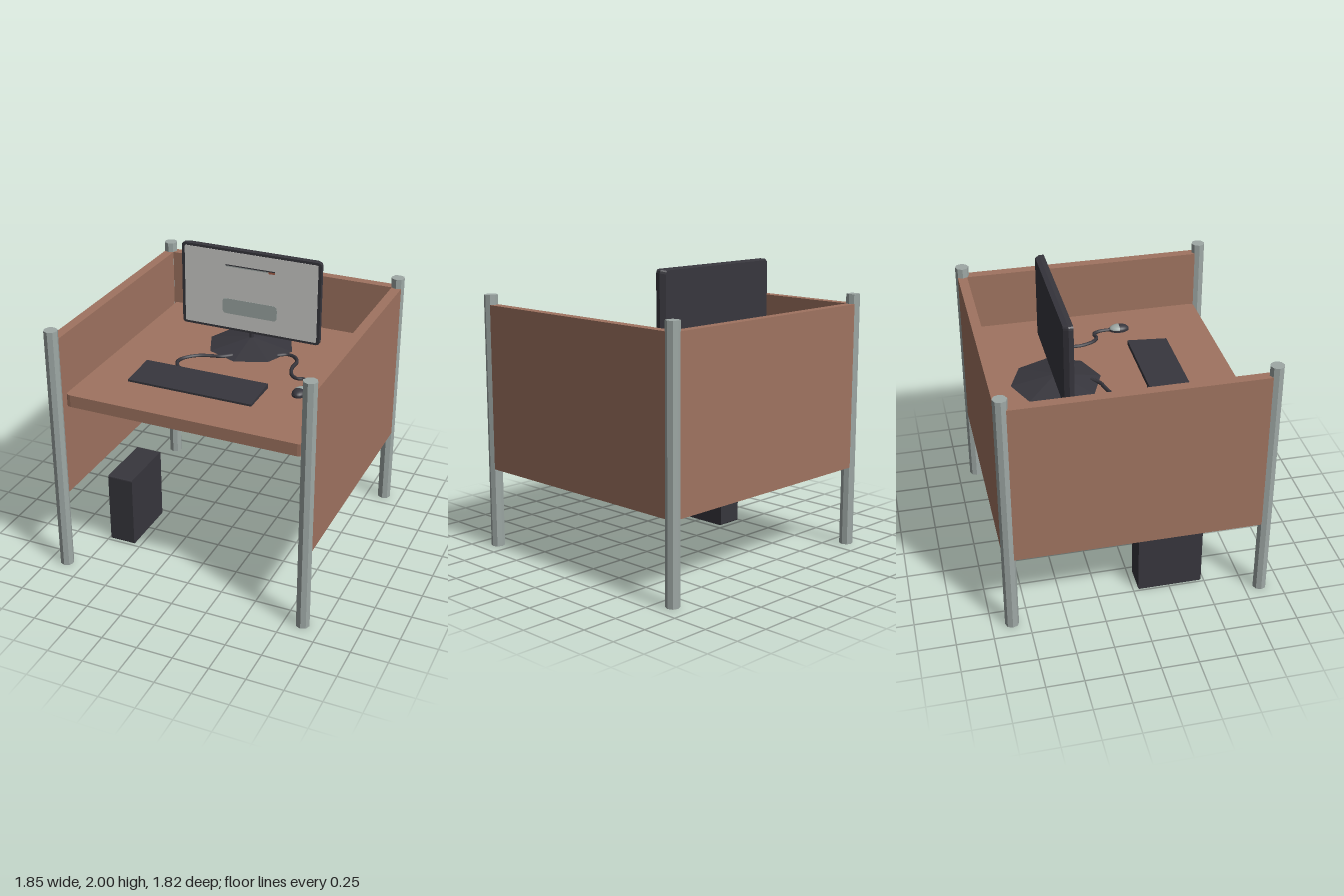
import * as THREE from 'three';

const mat = (name, color, side = THREE.FrontSide) => {
  const m = new THREE.MeshStandardMaterial({ color, side });
  m.name = name;
  return m;
};

// Rectangle with separate corner radii for its lower and upper edges
function roundedRect(x0, x1, y0, y1, rLow, rHigh = rLow) {
  const s = new THREE.Shape();
  s.moveTo(x0 + rLow, y0);
  s.lineTo(x1 - rLow, y0);
  s.quadraticCurveTo(x1, y0, x1, y0 + rLow);
  s.lineTo(x1, y1 - rHigh);
  s.quadraticCurveTo(x1, y1, x1 - rHigh, y1);
  s.lineTo(x0 + rHigh, y1);
  s.quadraticCurveTo(x0, y1, x0, y1 - rHigh);
  s.lineTo(x0, y0 + rLow);
  s.quadraticCurveTo(x0, y0, x0 + rLow, y0);
  return s;
}

const extrude = (shape, depth, steps = 1, curveSegments = 3) =>
  new THREE.ExtrudeGeometry(shape, { depth, steps, curveSegments, bevelEnabled: false });

export function createModel() {
  const wood = mat('brown panel', 0x9f7360);
  const metal = mat('grey metal', 0x9ea8a5);
  const dark = mat('charcoal plastic', 0x37363d);
  const screenGrey = mat('pale screen', 0xcfcecb);
  const accent = mat('red brown accent', 0xa8624c);

  const model = new THREE.Group();
  model.name = 'cubicleDesk';
  const add = (name, geometry, material, x = 0, y = 0, z = 0, parent = model) => {
    const mesh = new THREE.Mesh(geometry, material);
    mesh.name = name;
    mesh.position.set(x, y, z);
    parent.add(mesh);
    return mesh;
  };
  // Box given by its limits on each axis
  const box = (name, material, x0, x1, y0, y1, z0, z1, parent) =>
    add(name, new THREE.BoxGeometry(x1 - x0, y1 - y0, z1 - z0), material,
      (x0 + x1) / 2, (y0 + y1) / 2, (z0 + z1) / 2, parent);

  // Octagonal corner posts and side panels
  const postGeo = new THREE.CylinderGeometry(0.047, 0.047, 1.77, 8).toNonIndexed();
  postGeo.computeVertexNormals();
  for (const x of [-0.876, 0.876]) {
    for (const z of [-0.863, 0.858]) add('post', postGeo, metal, x, 0.885, z);
    box('sidePanel', wood, x - 0.034, x + 0.034, 0.56, 1.703, -0.86, 0.855);
  }
  box('backPanel', wood, -0.875, 0.875, 0.56, 1.703, -0.898, -0.833);

  // Desk top with rounded front corners
  const deskTop = add('deskTop', extrude(roundedRect(-0.825, 0.825, -0.82, 0.84, 0.035, 0.001), 0.085), wood, 0, 1.22, 0);
  deskTop.rotation.x = -Math.PI / 2;

  // Computer tower under the desk
  const tower = add('computerTower', extrude(roundedRect(-0.48, -0.035, 0, 0.522, 0.012), 0.185), dark, -0.55, 0, 0);
  tower.rotation.y = -Math.PI / 2;
  tower.position.set(-0.55, 0, 0);
  // Profile runs along z, depth runs toward -x
  tower.rotation.y = Math.PI / 2;
  tower.position.x = -0.735;

  // Monitor: shell with a tapered back
  const monitor = new THREE.Group();
  monitor.name = 'monitor';
  monitor.position.set(-0.018, 1.7, -0.345);
  model.add(monitor);
  const shellGeo = extrude(roundedRect(-0.514, 0.514, -0.3, 0.3, 0.025), 0.062, 2);
  const p = shellGeo.attributes.position;
  for (let i = 0; i < p.count; i++) {
    if (p.getZ(i) < 0.001) p.setXY(i, p.getX(i) * 0.953, p.getY(i) * 0.975);
  }
  shellGeo.translate(0, 0, -0.062);
  shellGeo.computeVertexNormals();
  add('monitorShell', shellGeo, dark, 0, 0, 0, monitor);
  add('screen', extrude(roundedRect(-0.492, 0.492, -0.283, 0.282, 0.012), 0.003), screenGrey, 0, 0, -0.001, monitor);
  add('screenPanel', extrude(roundedRect(-0.207, 0.201, -0.177, -0.065, 0.03), 0.003), metal, 0, 0, 0.001, monitor);
  box('screenLine', dark, -0.182, 0.182, 0.18, 0.187, 0.001, 0.004, monitor);
  box('screenLine', metal, -0.182, 0.135, 0.173, 0.18, 0.001, 0.004, monitor);
  box('screenMark', accent, 0.135, 0.182, 0.166, 0.18, 0.001, 0.004, monitor);

  // Monitor stand
  const footGeo = new THREE.CylinderGeometry(0.02, 0.307, 0.055, 8).toNonIndexed();
  footGeo.computeVertexNormals();
  add('standFoot', footGeo, dark, -0.017, 1.3325, -0.371);
  add('standStem', new THREE.CylinderGeometry(0.017, 0.017, 0.08, 8), dark, -0.017, 1.375, -0.375);

  // Keyboard: a wedge, lower toward the front
  const wedge = new THREE.Shape([[-0.49, 0], [-0.208, 0], [-0.208, 0.033], [-0.49, 0.014]]
    .map(([a, b]) => new THREE.Vector2(a, b)));
  const keyboard = add('keyboard', extrude(wedge, 0.887), dark, -0.54, 1.305, 0);
  keyboard.rotation.y = Math.PI / 2;

  // Cables lying on the desk
  const cables = {
    keyboardCable: [[-0.06, -0.14], [-0.12, -0.09], [-0.195, -0.07], [-0.28, -0.035], [-0.35, 0.04],
      [-0.362, 0.1], [-0.325, 0.17], [-0.22, 0.225]],
    mouseCable: [[0.225, -0.26], [0.285, -0.3], [0.34, -0.285], [0.385, -0.22], [0.39, -0.11],
      [0.43, -0.015], [0.475, 0.015], [0.525, 0.005], [0.558, 0.05], [0.565, 0.14]],
  };
  for (const [name, points] of Object.entries(cables)) {
    const path = new THREE.CatmullRomCurve3(points.map(([x, z]) => new THREE.Vector3(x, 1.313, z)));
    add(name, new THREE.TubeGeometry(path, 48, 0.013, 6), dark);
  }

  // Mouse: dark base and palm rest, grey buttons
  const mouse = new THREE.Group();
  mouse.name = 'mouse';
  mouse.position.set(0.566, 1.305, 0.197);
  model.add(mouse);
  add('mouseBase', new THREE.CylinderGeometry(1, 1, 1, 20), dark, 0, 0.007, 0, mouse).scale.set(0.049, 0.014, 0.072);
  const half = start => new THREE.SphereGeometry(1, 12, 8, start, Math.PI, 0, Math.PI / 2);
  add('mousePalmRest', half(0), dark, 0, 0.01, 0, mouse).scale.set(0.047, 0.031, 0.07);
  add('mouseButtons', half(Math.PI), metal, 0, 0.01, 0, mouse).scale.set(0.047, 0.031, 0.07);

  return model;
}
